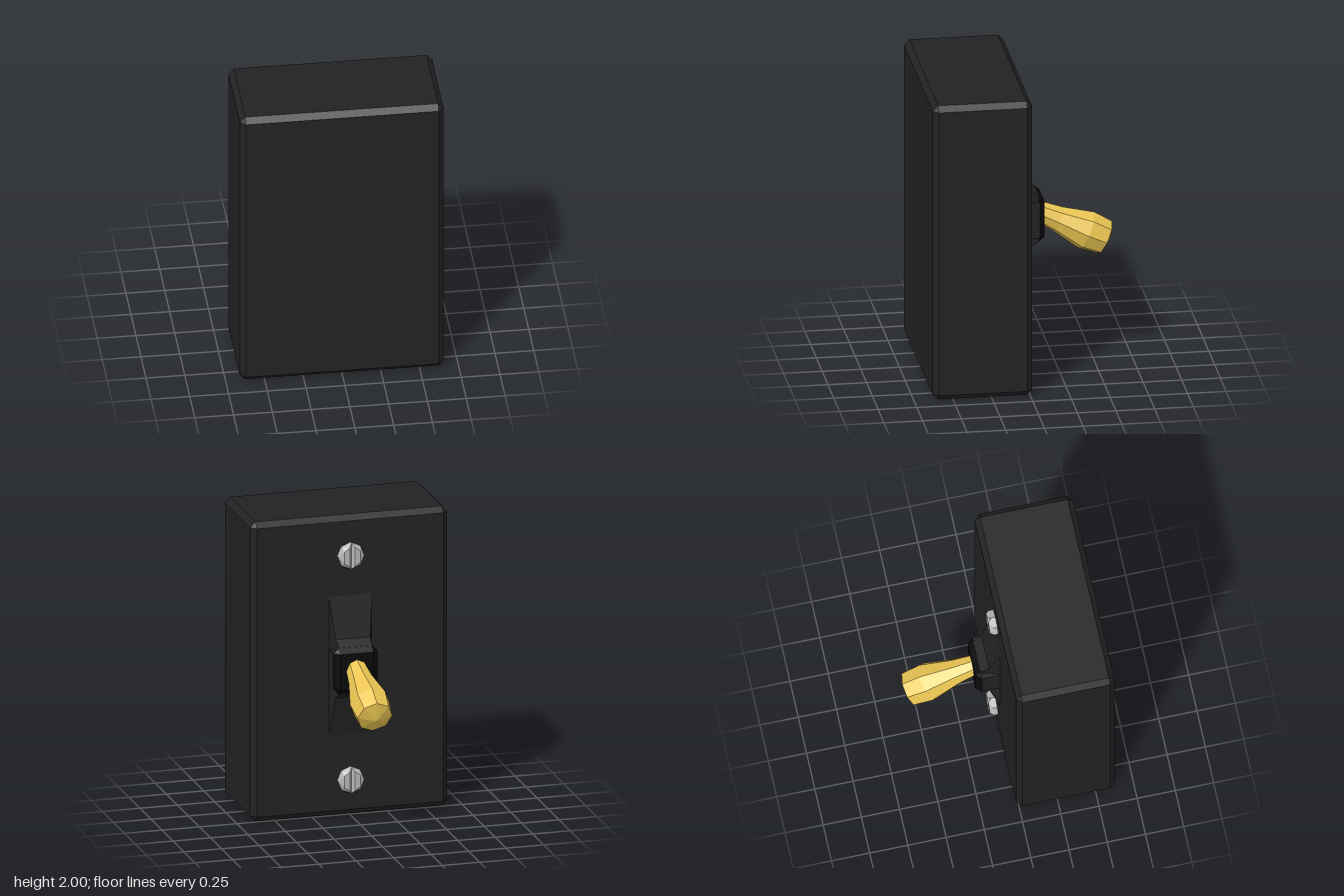
import * as THREE from 'three';
import { ConvexGeometry } from 'three/addons/geometries/ConvexGeometry.js';

const paint = (color) => new THREE.MeshStandardMaterial({ color, flatShading: true });
const V = (x, y, z) => new THREE.Vector3(x, y, z);

// Four mirrored corners of a rectangle at depth z
const rect = (x, y, z) => [V(x, y, z), V(-x, y, z), V(x, -y, z), V(-x, -y, z)];

export function createModel() {
  const group = new THREE.Group();
  const dark = paint(0x222222);
  const black = paint(0x0a0a0a);
  const steel = paint(0xb8b8b8);
  const gold = paint(0xebc653);

  const add = (name, geometry, material, x = 0, y = 0, z = 0) => {
    const mesh = new THREE.Mesh(geometry, material);
    mesh.name = name;
    mesh.position.set(x, y, z);
    group.add(mesh);
    return mesh;
  };
  const hull = (name, points, material, y, z = 0) =>
    add(name, new ConvexGeometry(points), material, 0, y, z);

  // Box with chamfered edges
  const [w, h, d, c] = [0.657, 1, 0.322, 0.036];
  const corners = [];
  for (const s of [-1, 1]) {
    corners.push(...rect(w - c, h - c, s * d), ...rect(w, h - c, s * (d - c)), ...rect(w - c, h, s * (d - c)));
  }
  hull('housing', corners, dark, 1, 0.307);

  // Sloping collar around the lever
  const midY = 1.003;
  hull('collarRamp', [...rect(0.145, 0.485, -0.01), ...rect(0.115, 0.195, -0.08)], dark, midY);
  hull('collarRidge', [...rect(0.115, 0.195, -0.08), ...rect(0.11, 0.155, -0.135)], dark, midY);
  hull('collarBlock', [...rect(0.145, 0.12, -0.01), ...rect(0.145, 0.12, -0.135)], dark, midY);
  hull('collarCap', [
    ...rect(0.145, 0.12, -0.134), ...rect(0.11, 0.155, -0.134), ...rect(0.11, 0.12, -0.17),
  ], black, midY);

  // Eight-sided lever, tilted downwards
  const profile = [
    [0, -0.02], [0.066, -0.02], [0.085, 0.137], [0.13, 0.337], [0.116, 0.47], [0, 0.51],
  ].map(([r, y]) => new THREE.Vector2(r, y));
  const lever = add('lever', new THREE.LatheGeometry(profile, 8), gold, 0, 1.016, -0.15);
  lever.rotation.x = Math.atan2(-0.905, -0.425);

  // Screws, each made of two halves with a V-shaped slot between them
  const arc = (r, z, degrees) => degrees.map((a) => {
    const t = THREE.MathUtils.degToRad(a);
    return V(r * Math.cos(t), r * Math.sin(t), z);
  });
  const half = [
    ...arc(0.087, -0.01, [-90, -45, 0, 45, 90]),
    ...arc(0.087, -0.042, [-90, -45, 0, 45, 90]),
    ...arc(0.066, -0.065, [-75, -35, 35, 75]),
  ];
  for (const [name, y] of [['upperScrew', 1.735], ['lowerScrew', 0.237]]) {
    for (const side of [-1, 1]) {
      hull(name, half.map((p) => V(p.x * side, p.y, p.z)), steel, y);
    }
  }
  return group;
}
